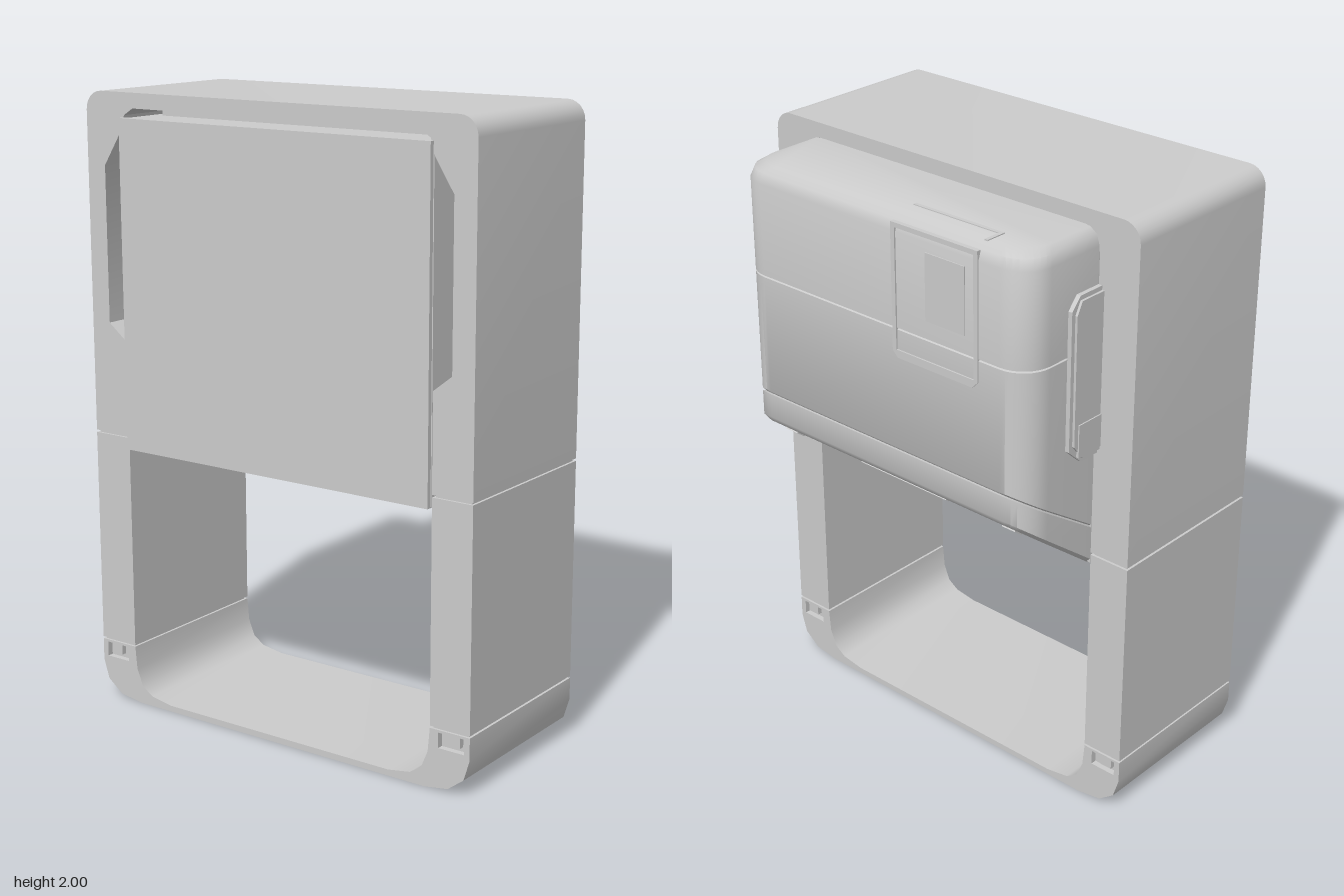
import * as THREE from 'three';
import { toCreasedNormals } from 'three/addons/utils/BufferGeometryUtils.js';

const BACK = -0.15, FRONT = 0.44; // depth range of the frame

export function createModel() {
  const model = new THREE.Group();
  const mat = new THREE.MeshStandardMaterial({ color: 0xcccccc });

  const add = (name, geo, x = 0, y = 0, z = 0, parent = model) => {
    const m = new THREE.Mesh(geo, mat);
    m.name = name;
    m.position.set(x, y, z);
    parent.add(m);
    return m;
  };
  const box = (name, x0, x1, y0, y1, z0, z1) =>
    add(name, new THREE.BoxGeometry(x1 - x0, y1 - y0, z1 - z0), (x0 + x1) / 2, (y0 + y1) / 2, (z0 + z1) / 2);
  const toShape = pts => new THREE.Shape(pts.map(p => new THREE.Vector2(p[0], p[1])));
  const extrude = (shape, z0, z1) =>
    toCreasedNormals(new THREE.ExtrudeGeometry(shape, { depth: z1 - z0, bevelEnabled: false }).translate(0, 0, z0), 0.6);
  const flip = pts => pts.map(([x, y]) => [-x, y]).reverse();
  // closed symmetric outline from the outer and inner half edges (centre line to leg end)
  const arch = (outer, inner) => toShape([...flip(outer), ...outer.slice(), ...flip(flip(inner)).reverse(), ...flip(inner).reverse()]);
  const arc = (cx, cy, r, a0, a1, n = 6) => Array.from({ length: n + 1 }, (_, i) => {
    const a = a0 + (a1 - a0) * i / n;
    return [cx + r * Math.cos(a), cy + r * Math.sin(a)];
  });

  // upper frame: rounded arch with side pockets
  const pocket = [[0.58, 1.88], [0.65, 1.77], [0.65, 1.27], [0.58, 1.215]];
  add('upperFrame', extrude(arch(
    [...arc(0.66, 1.94, 0.06, Math.PI / 2, 0), [0.72, 0.909]],
    [[0.53, 1.952], [0.565, 1.93], ...pocket, [0.58, 0.909]]), BACK, FRONT));

  // lower frame: thin tray with curved corners and clip holes
  const tray = arch(
    [[0.56, 0], [0.645, 0.013], [0.70, 0.055], [0.72, 0.12], [0.72, 0.192]],
    [[0.43, 0.02], [0.51, 0.033], [0.55, 0.06], [0.573, 0.115], [0.58, 0.192]]);
  for (const s of [1, -1]) {
    tray.holes.push(new THREE.Path([[0.61, 0.135], [0.70, 0.135], [0.70, 0.184], [0.61, 0.184]]
      .map(p => new THREE.Vector2(s * p[0], p[1]))));
  }
  add('lowerTray', extrude(tray, BACK, FRONT));

  for (const s of [1, -1]) {
    const span = (name, a, b, ...rest) => box(name, Math.min(s * a, s * b), Math.max(s * a, s * b), ...rest);
    // legs, with recessed cores that show as seams
    span('leg', 0.58, 0.72, 0.199, 0.901, BACK, FRONT);
    for (const y of [0.1955, 0.905]) span('seamCore', 0.588, 0.712, y - 0.008, y + 0.008, BACK + 0.008, FRONT - 0.008);
    // clips sunk in the tray
    span('clipWell', 0.609, 0.701, 0.134, 0.185, BACK + 0.02, FRONT - 0.02);
    for (const z of [BACK + 0.012, FRONT - 0.012]) span('clipTab', 0.64, 0.685, 0.15, 0.184, z - 0.009, z + 0.009);

    // pocket filler and side handle
    const fill = (s > 0 ? pocket : flip(pocket)).map(([x, y]) => [x, y]);
    add('pocketFloor', extrude(toShape(fill), BACK, 0.34));
    const handle = d => toShape([[0.1, 1.255 + d], [0.225, 1.255 + d], [0.28 - d, 1.305 + d], [0.28 - d, 1.745 - d],
      [0.245, 1.785 - d], [0.1, 1.785 - d]]);
    [['sideHandle', 0, 0.56, 0.592], ['handlePad', 0.014, 0.59, 0.6]].forEach(([name, d, x0, x1]) => {
      const g = new THREE.ExtrudeGeometry(handle(d), { depth: x1 - x0, bevelEnabled: false });
      // stand the outline in the depth-height plane
      g.rotateY(Math.PI / 2).translate(s > 0 ? x0 : -x1, 0, 0);
      add(name, g);
    });
    span('handleButton', 0.595, 0.604, 1.28, 1.385, -0.25, BACK);
  }

  // main body inside the frame and the flat front panel
  box('bodyCore', -0.578, 0.578, 0.872, 1.92, BACK, FRONT);
  box('bodyCoreTop', -0.53, 0.53, 1.91, 1.948, BACK, 0.3);
  box('frontPanel', -0.575, 0.575, 0.868, 1.922, 0.43, 0.455);

  // rear housing: rounded plan lofted upward, rings tilted near the sloping underside
  const rings = [[0.87, 0.77, 0.015], [0.885, 0.76, 0], [0.995, 0.667, 0], [1.0, 0.667, 0.008], [1.005, 0.667, 0],
    [1.597, 0, 0], [1.6, 0, 0.008], [1.603, 0, 0], [1.9, 0, 0], [1.932, 0, 0.01], [1.95, 0, 0.035]];
  const loops = rings.map(([y0, tilt, d]) => {
    const half = [[0.578 - d, -0.14], ...arc(0.478 - d, -0.353 + d, 0.1, 0, -Math.PI / 2, 8)];
    return [...half, ...flip(half)].map(([x, z]) => new THREE.Vector3(x, y0 + tilt * (-z - 0.15), z));
  });
  const tri = [];
  const n = loops[0].length;
  for (let i = 0; i < loops.length - 1; i++) {
    for (let j = 0; j < n; j++) {
      const k = (j + 1) % n, [a, b] = [loops[i], loops[i + 1]];
      tri.push(a[j], a[k], b[k], a[j], b[k], b[j]);
    }
  }
  const low = loops[0], top = loops[loops.length - 1];
  for (let j = 1; j < n - 1; j++) tri.push(low[0], low[j + 1], low[j], top[0], top[j], top[j + 1]);
  const housing = new THREE.BufferGeometry().setFromPoints(tri);
  add('rearHousing', toCreasedNormals(housing, 0.7));

  // hatch on the upper back, wrapping over the top edge
  const frameShape = toShape([[-0.4, 1.53], [-0.38, 1.51], [-0.09, 1.51], [-0.07, 1.53], [-0.07, 1.93], [-0.4, 1.93]]);
  frameShape.holes.push(new THREE.Path([[-0.385, 1.535], [-0.085, 1.535], [-0.085, 1.915], [-0.385, 1.915]]
    .map(p => new THREE.Vector2(...p))));
  add('hatchRim', extrude(frameShape, -0.458, -0.44));
  box('hatchButton', -0.35, -0.2, 1.66, 1.87, -0.456, -0.44);
  box('hatchTopEdge', -0.4, -0.07, 1.94, 1.953, -0.362, -0.35);
  box('hatchTopSide', -0.405, -0.393, 1.94, 1.953, -0.42, -0.35);

  // vent and feet on the sloping underside
  const under = new THREE.Group();
  under.name = 'undersideDetails';
  under.position.set(0, 0.87 + 0.77 * 0.15, -0.3);
  under.rotation.x = Math.atan(0.77);
  model.add(under);
  add('vent', new THREE.BoxGeometry(0.36, 0.008, 0.018), 0, 0, -0.06, under);
  for (const s of [1, -1]) add('foot', new THREE.BoxGeometry(0.05, 0.01, 0.04), s * 0.46, 0, -0.09, under);

  return model;
}
